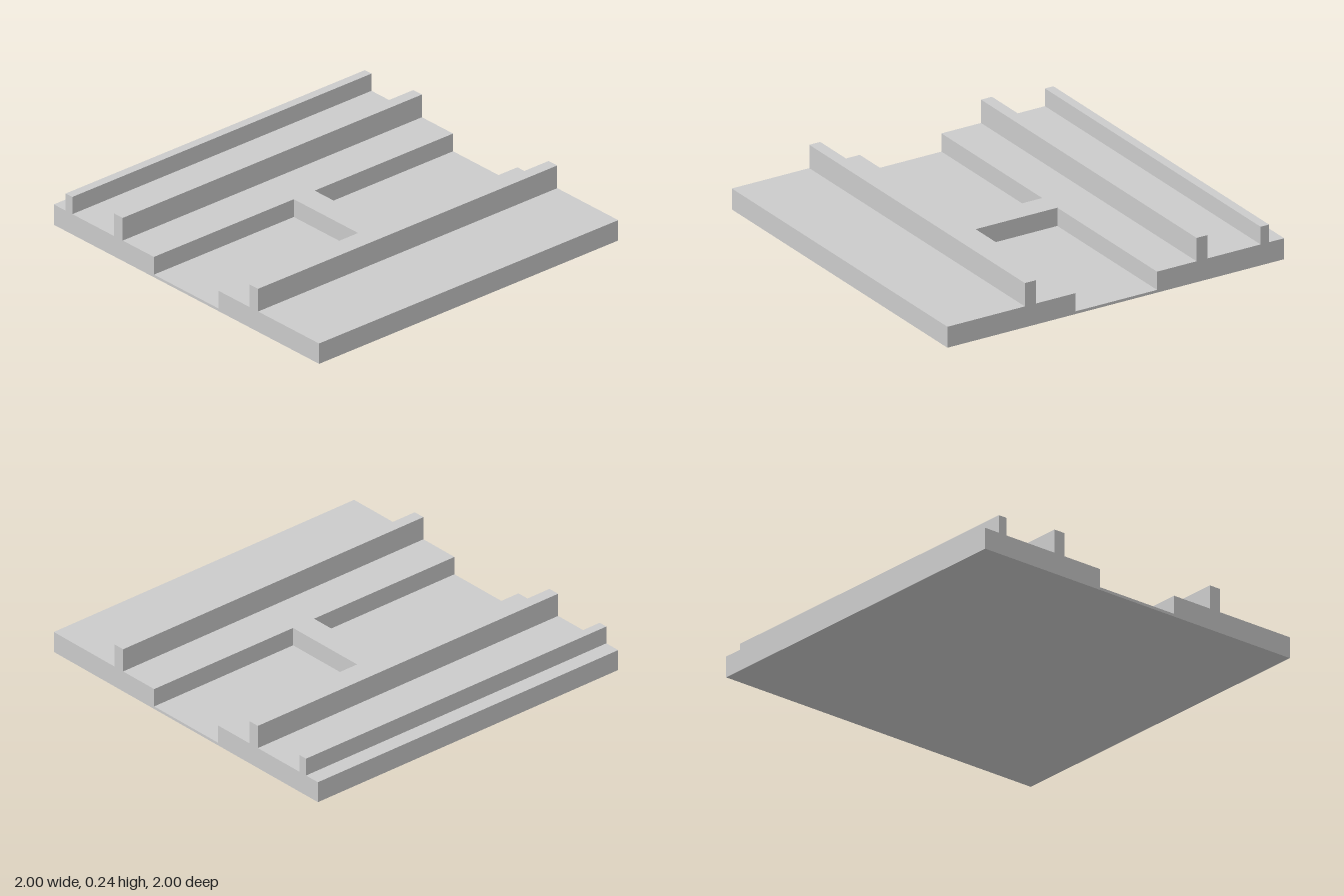
import * as THREE from 'three';

const LENGTH = 2;
const DECK = 0.115;   // top of the plate
const FLOOR = 0.015;  // bottom of the recesses
const RECESS = [-0.245, 0.24];
const BRIDGE_Z = [-0.075, 0.065];

// Raised strips along the deck: left edge, right edge, top height
const RAILS = [
  [-0.91, -0.86, 0.212],
  [-0.545, -0.48, 0.243],
  [0.475, 0.54, 0.243],
];

export function createModel() {
  const group = new THREE.Group();
  const material = new THREE.MeshStandardMaterial({ color: 0xcccccc, flatShading: true });

  // Plate, rails and lengthwise channel as one constant cross-section
  const steps = [...RAILS, [...RECESS, FLOOR]].sort((a, b) => a[0] - b[0]);
  const profile = new THREE.Shape();
  profile.moveTo(1, 0);
  profile.lineTo(-1, 0);
  profile.lineTo(-1, DECK);
  for (const [x0, x1, y] of steps) {
    profile.lineTo(x0, DECK);
    profile.lineTo(x0, y);
    profile.lineTo(x1, y);
    profile.lineTo(x1, DECK);
  }
  profile.lineTo(1, DECK);
  profile.closePath();
  const plateGeometry = new THREE.ExtrudeGeometry(profile, { depth: LENGTH, bevelEnabled: false });
  plateGeometry.translate(0, 0, -LENGTH / 2);
  const plate = new THREE.Mesh(plateGeometry, material);
  plate.name = 'railedPlate';
  group.add(plate);

  // Bridge dividing the channel into a front and a back recess
  const bridge = new THREE.Mesh(
    new THREE.BoxGeometry(RECESS[1] - RECESS[0], DECK - FLOOR, BRIDGE_Z[1] - BRIDGE_Z[0]),
    material
  );
  bridge.name = 'recessBridge';
  bridge.position.set(
    (RECESS[0] + RECESS[1]) / 2,
    (DECK + FLOOR) / 2,
    (BRIDGE_Z[0] + BRIDGE_Z[1]) / 2
  );
  group.add(bridge);

  return group;
}
